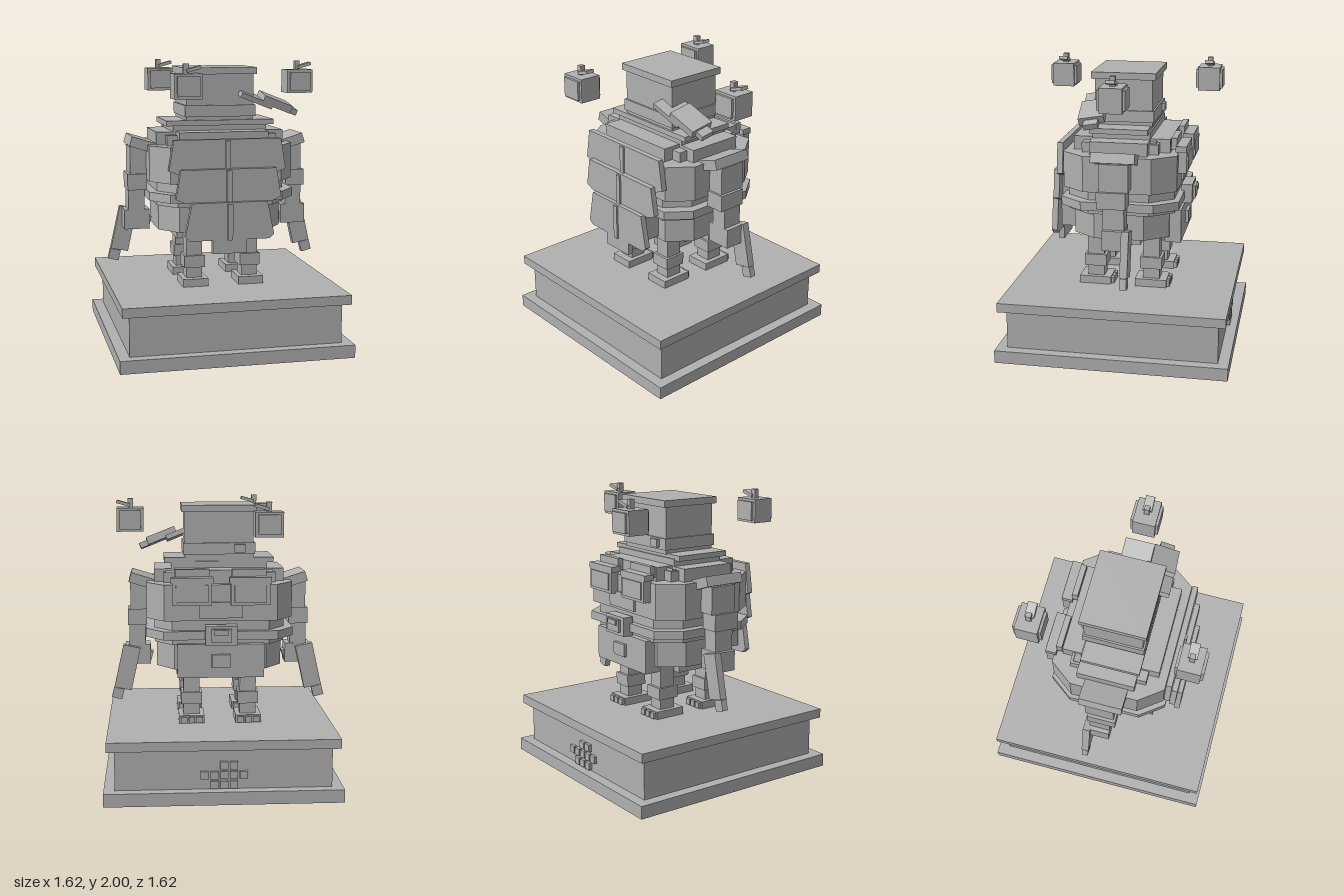
import * as THREE from 'three';

export function createModel() {
  const root = new THREE.Group();
  root.name = 'guardianStatue';
  const stone = new THREE.MeshStandardMaterial({ color: 0xb0b0b0 });
  stone.name = 'stoneGrey';

  const add = (name, geo, parent = root) => {
    const m = new THREE.Mesh(geo, stone);
    m.name = name;
    parent.add(m);
    return m;
  };
  // box from its extents: [x0, x1], [y0, y1], [z0, z1]
  const span = (name, [x0, x1], [y0, y1], [z0, z1], parent) => {
    const m = add(name, new THREE.BoxGeometry(x1 - x0, y1 - y0, z1 - z0), parent);
    m.position.set((x0 + x1) / 2, (y0 + y1) / 2, (z0 + z1) / 2);
    return m;
  };
  // box from size, centre and rotation
  const box = (name, size, pos, rot = [0, 0, 0], parent) => {
    const m = add(name, new THREE.BoxGeometry(...size), parent);
    m.position.set(...pos);
    m.rotation.set(...rot);
    return m;
  };
  const sym = (h) => [-h, h];
  const polygon = (pts) => new THREE.Shape(pts.map(([x, y]) => new THREE.Vector2(x, y)));
  const extrude = (pts, depth) =>
    new THREE.ExtrudeGeometry(polygon(pts), { depth, bevelEnabled: false });
  // upright block with chamfered corners
  const octagon = (name, hx, hz, y0, y1) => {
    const cx = hx - 0.12, cz = hz - 0.16;
    const pts = [[hx, -cz], [hx, cz], [cx, hz], [-cx, hz], [-hx, cz], [-hx, -cz], [-cx, -hz], [cx, -hz]];
    add(name, extrude(pts, y1 - y0).rotateX(-Math.PI / 2)).position.y = y0;
  };

  // pedestal
  span('pedestalBase', sym(0.81), [0, 0.09], sym(0.81));
  span('pedestalCore', sym(0.735), [0.09, 0.37], sym(0.735));
  span('pedestalTop', sym(0.787), [0.37, 0.435], sym(0.787));
  // block emblem on the pedestal
  [[-1, 0], [-2, -1, 0, 1, 2], [-1, 0, 1]].forEach((row, r) => row.forEach((c) =>
    box('emblemBlock', [0.054, 0.052, 0.03], [c * 0.066, 0.257 - r * 0.067, -0.743])));

  // four legs with cuffs, feet and toes
  for (const x of [-0.2, 0.2]) for (const z of [0.2, -0.2]) {
    const leg = new THREE.Group();
    leg.name = 'leg';
    leg.position.set(x, 0, z);
    root.add(leg);
    span('shin', sym(0.057), [0.48, 0.85], sym(0.06), leg);
    span('cuff', sym(0.073), [0.565, 0.65], sym(0.078), leg);
    span('foot', sym(0.09), [0.435, 0.49], sym(0.113), leg);
    for (const t of [-0.055, 0, 0.055])
      span('toe', [t - 0.022, t + 0.022], [0.44, 0.482], [-0.134, -0.11], leg);
  }

  // body
  span('belly', sym(0.3), [0.75, 0.84], sym(0.13));
  octagon('pelvis', 0.44, 0.335, 0.83, 1.02);
  octagon('waist', 0.455, 0.372, 1.01, 1.18);
  octagon('belt', 0.515, 0.412, 1.05, 1.11);
  octagon('torso', 0.51, 0.395, 1.18, 1.43);
  span('shoulderBlock', sym(0.455), [1.42, 1.52], sym(0.2));
  span('upperChest', sym(0.39), [1.42, 1.5], sym(0.265));
  span('neckBase', sym(0.315), [1.42, 1.525], sym(0.337));
  span('neck', sym(0.335), [1.5, 1.57], sym(0.2));
  span('collar', sym(0.385), [1.56, 1.597], [-0.19, 0.215]);

  // head
  span('head', sym(0.24), [1.59, 1.92], sym(0.2));
  span('headBand', sym(0.252), [1.62, 1.7], sym(0.212));
  span('headCap', sym(0.26), [1.915, 1.962], sym(0.224));
  span('bandStud', [-0.18, -0.105], [1.635, 1.69], [-0.235, -0.21]);

  // tilted slab resting beside the head
  const slab = new THREE.Group();
  slab.name = 'tiltedSlab';
  slab.position.set(0.4, 1.715, 0.18);
  slab.rotation.set(0.17, 0, -0.38);
  root.add(slab);
  box('slabCore', [0.22, 0.055, 0.175], [0, 0, 0], [0, 0, 0], slab);
  box('slabArm', [0.245, 0.035, 0.195], [-0.15, -0.03, -0.01], [0, 0, 0], slab);
  box('slabEnd', [0.07, 0.04, 0.1], [0.135, -0.01, 0], [0, 0, 0], slab);

  // three overlapping armour tiers: top half-width, wide half-width, foot half-width, y range, z
  const tiers = [
    [0.375, 0.41, 0.335, 1.245, 1.485, 0.4],
    [0.335, 0.37, 0.3, 1.055, 1.285, 0.437],
    [0.265, 0.312, 0.28, 0.8, 1.06, 0.468],
  ];
  for (const [t, w, f, y0, y1, z] of tiers) {
    const pts = [[-f, y0], [f, y0], [w, y0 + 0.03], [t, y1], [-t, y1], [-w, y0 + 0.03]];
    add('armourTier', extrude(pts, 0.04)).position.z = z;
    span('tierRidge', sym(0.018), [y0, y1 - 0.01], [z + 0.03, z + 0.053]);
  }
  span('tailFlap', sym(0.12), [0.705, 0.86], [0.465, 0.503]);
  span('tierBacking', sym(0.25), [0.85, 1.25], [0.3, 0.45]);

  // chest gear on the far side
  for (const s of [-1, 1]) {
    box('pouch', [0.27, 0.18, 0.065], [s * 0.2, 1.385, -0.42]);
    box('pouchFlap', [0.29, 0.04, 0.075], [s * 0.2, 1.465, -0.415]);
    box('pouchPanel', [0.22, 0.12, 0.02], [s * 0.2, 1.375, -0.452]);
    box('chestStrap', [0.235, 0.08, 0.04], [s * 0.195, 1.495, -0.362]);
    box('shoulderStrap', [0.06, 0.07, 0.05], [s * 0.345, 1.475, -0.23], [0.3, 0, 0]);
  }
  span('chestTab', sym(0.15), [1.2, 1.31], [-0.41, -0.36]);
  span('loinPlate', sym(0.3), [0.785, 1.02], [-0.415, -0.3]);
  span('loinPouch', sym(0.065), [0.86, 0.95], [-0.437, -0.4]);
  span('buckle', sym(0.11), [1.02, 1.155], [-0.467, -0.39]);
  span('buckleFrame', sym(0.07), [1.045, 1.135], [-0.485, -0.46]);
  span('buckleBar', sym(0.05), [1.095, 1.13], [-0.497, -0.48]);

  // arms with shoulder pads and blades
  for (const s of [-1, 1]) {
    const arm = new THREE.Group();
    arm.name = s > 0 ? 'leftArm' : 'rightArm';
    root.add(arm);
    const limb = (name, a, b, y, z) => span(name, s > 0 ? [a, b] : [-b, -a], y, z, arm);
    limb('upperArm', 0.45, 0.625, [1.22, 1.41], sym(0.1));
    limb('armBand', 0.51, 0.645, [1.105, 1.22], [-0.085, 0.115]);
    limb('forearm', 0.52, 0.635, [0.95, 1.11], sym(0.073));
    limb('hand', 0.485, 0.665, [0.82, 0.96], [-0.075, 0.073]);
    box('shoulderPad', [0.2, 0.07, 0.3], [s * 0.53, 1.425, 0.007], [0, 0, s * 0.3], arm);
    box('thumb', [0.08, 0.085, 0.08], [s * 0.515, 0.87, 0], [0, 0, s * 0.28], arm);
    box('blade', [0.125, 0.315, 0.052], [s * 0.652, 0.8, -0.088], [0, 0, s * 0.22], arm);
    box('bladeTip', [0.075, 0.075, 0.045], [s * 0.722, 0.612, -0.088], [0, 0, s * 0.25], arm);
  }

  // three floating lanterns
  for (const [x, z] of [[-0.308, 0.535], [-0.308, -0.535], [0.62, 0]]) {
    const lantern = new THREE.Group();
    lantern.name = 'floatingLantern';
    lantern.position.set(x, 1.853, z);
    root.add(lantern);
    box('lanternCube', [0.188, 0.167, 0.155], [0, 0, 0], [0, 0, 0], lantern);
    box('lanternPanels', [0.15, 0.133, 0.19], [0, 0, 0], [0, 0, 0], lantern);
    box('lanternStem', [0.036, 0.07, 0.036], [-0.003, 0.112, 0], [0, 0, 0], lantern);
    box('lanternLeaf', [0.1, 0.022, 0.062], [0.047, 0.112, 0], [0, 0, 0.27], lantern);
  }
  return root;
}
